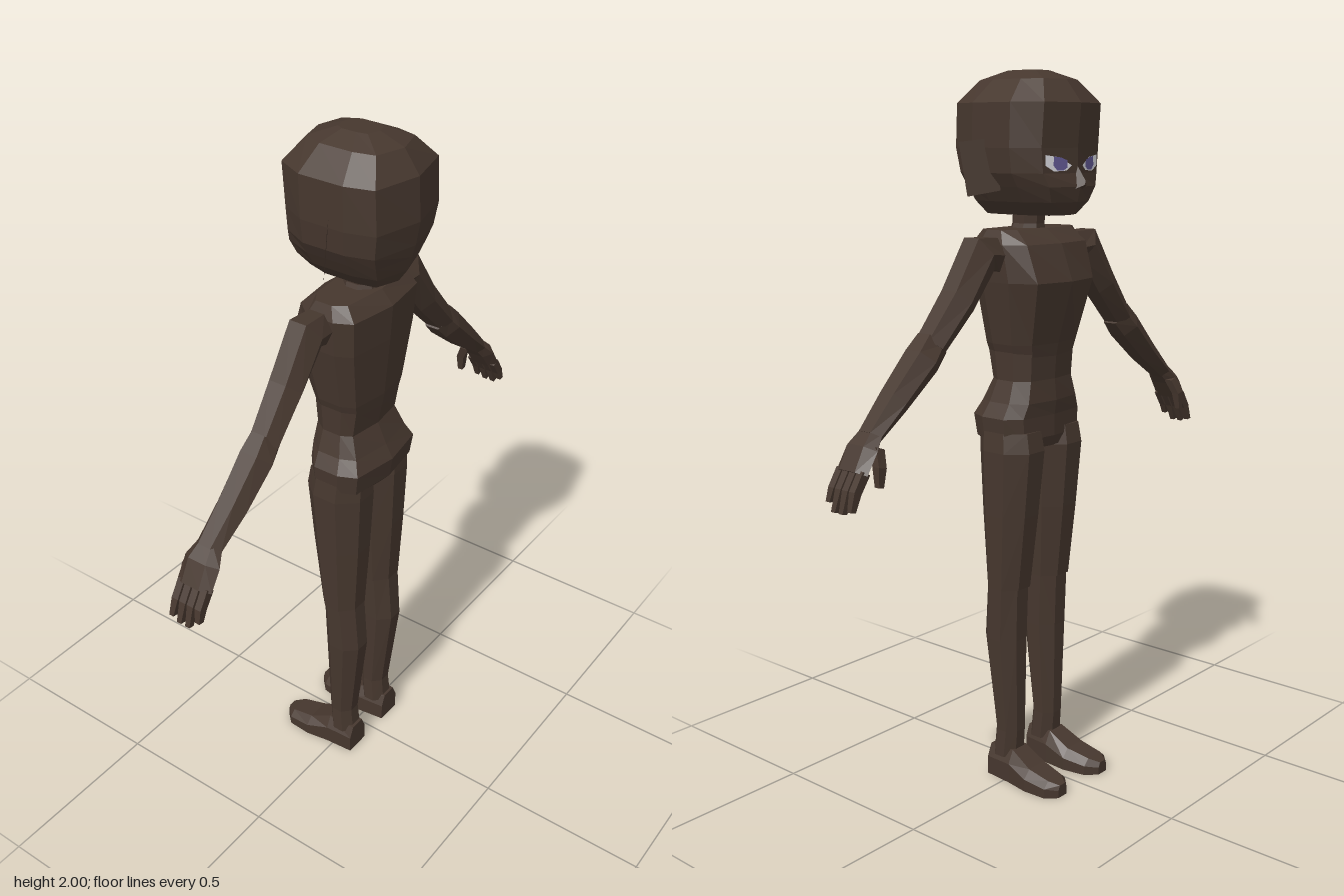
import * as THREE from 'three';

const mat = (name, color, extra = {}) => {
  const m = new THREE.MeshStandardMaterial({ color, ...extra });
  m.name = name;
  return m;
};

// Faceted skin through a series of rings, capped at both ends and always wound outward
function loft(name, rings, material) {
  const V = rings.map(r => r.map(p => new THREE.Vector3(...p)));
  const n = V[0].length, tris = [];
  for (let i = 0; i + 1 < V.length; i++) {
    for (let j = 0; j < n; j++) {
      const k = (j + 1) % n;
      tris.push([V[i][j], V[i + 1][j], V[i + 1][k]], [V[i][j], V[i + 1][k], V[i][k]]);
    }
  }
  [V[0], V[V.length - 1]].forEach((ring, end) => {
    const c = ring.reduce((s, p) => s.add(p), new THREE.Vector3()).divideScalar(n);
    for (let j = 0; j < n; j++) {
      const a = ring[j], b = ring[(j + 1) % n];
      tris.push(end ? [c, b, a] : [c, a, b]);
    }
  });
  const origin = V[0][0], q = p => p.clone().sub(origin);
  const volume = tris.reduce((s, [a, b, c]) => s + q(a).dot(q(b).cross(q(c))), 0);
  const pos = [];
  for (const t of tris) for (const p of volume < 0 ? [t[0], t[2], t[1]] : t) pos.push(p.x, p.y, p.z);
  const g = new THREE.BufferGeometry();
  g.setAttribute('position', new THREE.Float32BufferAttribute(pos, 3));
  g.computeVertexNormals();
  const mesh = new THREE.Mesh(g, material);
  mesh.name = name;
  return mesh;
}

// Symmetric ring for head and torso: half width, front z, back z
function bodyRing([y, w, f, b]) {
  const half = [[0.75 * w, 0.84 * f], [w, 0.35 * f], [w, 0.4 * b], [0.85 * w, 0.82 * b]];
  return [[0, y, f], ...half.map(([x, z]) => [x, y, z]), [0, y, b],
    ...half.reverse().map(([x, z]) => [-x, y, z])];
}

// Limb ring: centre, half size in the xy plane, half size in z, tilt in degrees
function limbRing(s, sides, [x, y, z, a, b, tilt = 0]) {
  const t = THREE.MathUtils.degToRad(tilt), out = [];
  for (let i = 0; i < sides; i++) {
    const u = ((i + 0.5) / sides) * Math.PI * 2, k = 1 / Math.cos(Math.PI / sides);
    const d = a * k * Math.cos(u);
    out.push([s * (x + d * Math.cos(t)), y + d * Math.sin(t), z + b * k * Math.sin(u)]);
  }
  return out;
}

export function createModel() {
  const model = new THREE.Group();
  model.name = 'figure';
  const skin = mat('dark brown skin', 0x46372e, { flatShading: true });
  const thinSkin = mat('ear skin', 0x46372e, { side: THREE.DoubleSide, flatShading: true });
  const white = mat('eye white', 0xe6e6ec, { side: THREE.DoubleSide });
  const violet = mat('iris violet', 0x665c98, { side: THREE.DoubleSide });

  const limb = (name, s, sides, rows) => loft(name, rows.map(r => limbRing(s, sides, r)), skin);

  // Head
  const head = new THREE.Group();
  head.name = 'head';
  model.add(head);
  head.add(loft('skull', [
    [1.625, 0.075, -0.125, 0.13], [1.66, 0.105, -0.155, 0.155], [1.7, 0.13, -0.165, 0.168],
    [1.735, 0.15, -0.155, 0.178], [1.8, 0.158, -0.155, 0.19], [1.915, 0.157, -0.165, 0.184],
    [1.975, 0.095, -0.115, 0.14], [2.0, 0.04, -0.04, 0.07],
  ].map(bodyRing), skin));
  head.add(loft('nose', [
    [[-0.02, 1.69, -0.15], [0.02, 1.69, -0.15], [0, 1.76, -0.15]],
    [[-0.005, 1.705, -0.182], [0.005, 1.705, -0.182], [0, 1.715, -0.182]],
  ], skin));

  // Thin plate laid on the front of the face
  const facePlate = (name, s, pts, lift, material) => {
    const g = new THREE.ShapeGeometry(new THREE.Shape(pts.map(p => new THREE.Vector2(...p))));
    const p = g.attributes.position;
    for (let i = 0; i < p.count; i++) {
      const x = p.getX(i);
      p.setXYZ(i, s * x, p.getY(i), -0.155 + 0.0248 * x / 0.1125 - lift);
    }
    g.computeVertexNormals();
    const mesh = new THREE.Mesh(g, material);
    mesh.name = name;
    head.add(mesh);
  };

  for (const s of [1, -1]) {
    // Eyes
    facePlate('eyeWhite', s, [[0.022, 1.755], [0.04, 1.742], [0.08, 1.74], [0.108, 1.755], [0.108, 1.782], [0.06, 1.776]], 0.003, white);
    facePlate('iris', s, [[0.038, 1.75], [0.05, 1.743], [0.072, 1.743], [0.084, 1.755], [0.082, 1.778], [0.06, 1.776], [0.038, 1.768]], 0.005, violet);

    // Ears: flat flaps swept backwards
    const ear = new THREE.BufferGeometry();
    ear.setAttribute('position', new THREE.Float32BufferAttribute([
      0.14, 1.825, 0.02, 0.215, 1.815, 0.07, 0.205, 1.675, 0.05, 0.13, 1.69, 0], 3));
    ear.setIndex([0, 1, 2, 0, 2, 3]);
    ear.scale(s, 1, 1);
    ear.computeVertexNormals();
    const earMesh = new THREE.Mesh(ear, thinSkin);
    earMesh.name = 'ear';
    head.add(earMesh);

    // Arm
    const arm = new THREE.Group();
    arm.name = 'arm';
    model.add(arm);
    arm.add(limb('upperArm', s, 6, [
      [0.165, 1.525, 0, 0.045, 0.04, 85], [0.215, 1.53, 0, 0.052, 0.045, 55],
      [0.3, 1.415, 0, 0.042, 0.045, 41], [0.4, 1.305, 0.005, 0.034, 0.04, 41]]));
    arm.add(limb('forearm', s, 6, [
      [0.39, 1.315, 0.005, 0.04, 0.036, 43], [0.43, 1.275, 0.005, 0.041, 0.045, 43],
      [0.53, 1.185, 0.005, 0.033, 0.04, 45], [0.62, 1.11, 0, 0.022, 0.034, 45]]));
    arm.add(limb('palm', s, 6, [
      [0.61, 1.12, 0, 0.02, 0.032, 45], [0.645, 1.085, 0, 0.024, 0.048, 32],
      [0.68, 1.03, 0, 0.019, 0.048, 28]]));
    for (let i = 0; i < 4; i++) {
      const z = -0.037 + i * 0.025, d = i === 3 ? 0.02 : i === 0 ? 0.008 : 0;
      arm.add(limb('finger', s, 4, [
        [0.675, 1.035, z, 0.013, 0.01, 30], [0.705, 0.99, z, 0.012, 0.01, 25],
        [0.725 - d * 0.4, 0.938 + d, z * 1.1, 0.008, 0.007, 10]]));
    }
    arm.add(limb('thumb', s, 4, [
      [0.63, 1.09, -0.035, 0.015, 0.014, 20], [0.64, 1.045, -0.055, 0.013, 0.012, 12],
      [0.645, 0.995, -0.058, 0.008, 0.008, 10]]));

    // Leg
    const leg = new THREE.Group();
    leg.name = 'leg';
    model.add(leg);
    leg.add(limb('thigh', s, 8, [
      [0.082, 1.04, 0.01, 0.072, 0.085], [0.082, 0.985, 0.005, 0.078, 0.09],
      [0.084, 0.8, 0.01, 0.07, 0.077], [0.086, 0.585, 0.016, 0.06, 0.058]]));
    leg.add(limb('calf', s, 8, [
      [0.086, 0.6, 0.018, 0.057, 0.055], [0.086, 0.43, 0.027, 0.054, 0.058],
      [0.083, 0.15, 0.013, 0.041, 0.039], [0.083, 0.07, 0.02, 0.044, 0.04]]));

    // Foot: sections from heel to toe as z, inner x, outer x, height
    leg.add(loft('foot', [
      [0.066, 0.048, 0.125, 0.09], [-0.02, 0.036, 0.132, 0.095], [-0.09, 0.032, 0.144, 0.06],
      [-0.16, 0.045, 0.14, 0.046], [-0.19, 0.075, 0.112, 0.036],
    ].map(([z, a, b, h]) => {
      const c = (b - a) * 0.2;
      return [[a, 0, z], [b, 0, z], [b, h * 0.6, z], [b - c, h, z], [a + c, h, z], [a, h * 0.6, z]]
        .map(([x, y, zz]) => [s * x, y, zz]);
    }), skin));
  }

  // Neck and torso
  model.add(limb('neck', 1, 8, [
    [0, 1.56, 0.02, 0.055, 0.05], [0, 1.6, 0.015, 0.04, 0.043], [0, 1.66, 0.01, 0.042, 0.045]]));
  model.add(loft('chest', [
    [1.24, 0.112, -0.084, 0.085], [1.28, 0.125, -0.092, 0.092], [1.45, 0.157, -0.14, 0.108],
    [1.55, 0.165, -0.102, 0.115], [1.588, 0.15, -0.05, 0.08],
  ].map(bodyRing), skin));
  model.add(loft('pelvis', [
    [0.99, 0.11, -0.07, 0.085], [1.02, 0.152, -0.08, 0.112], [1.08, 0.157, -0.08, 0.122],
    [1.12, 0.135, -0.086, 0.1], [1.18, 0.115, -0.08, 0.072], [1.26, 0.118, -0.086, 0.088],
  ].map(bodyRing), skin));
  return model;
}
